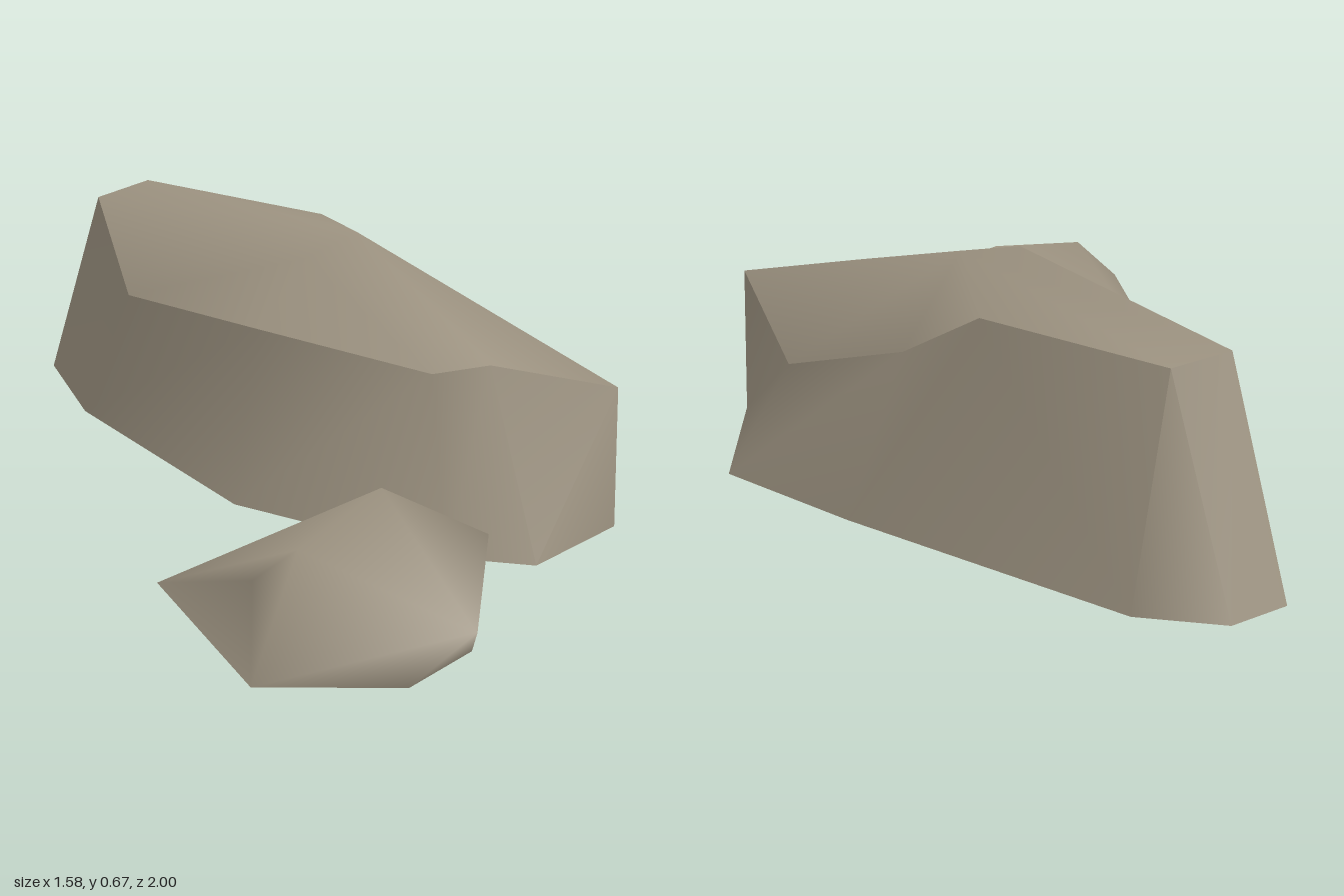
import * as THREE from 'three';
import { mergeVertices, toCreasedNormals } from 'three/addons/utils/BufferGeometryUtils.js';
import { ConvexGeometry } from 'three/addons/geometries/ConvexGeometry.js';

// Both stones are open shells underneath
const stone = new THREE.MeshStandardMaterial({ color: 0x9d9381, side: THREE.DoubleSide });
stone.name = 'stone';

function fromTriangles(positions) {
  const geometry = new THREE.BufferGeometry();
  geometry.setAttribute('position', new THREE.Float32BufferAttribute(positions, 3));
  return geometry;
}

function smooth(geometry) {
  const merged = mergeVertices(geometry, 1e-4);
  merged.computeVertexNormals();
  return merged;
}

// Long boulder: a rim ring above a ground ring
const rim = [
  [-0.63, 0.605, -0.72], [-0.5, 0.605, -0.86], [0, 0.605, -0.6], [0.22, 0.45, -0.46],
  [0.59, 0.275, -0.15], [0.78, 0.42, 0.15], [0.45, 0.475, 0.14], [0.3, 0.44, 0.12],
  [-0.16, 0.5, -0.03], [-0.53, 0.415, -0.46],
];
const ground = [
  [-0.79, -0.87], [-0.67, -1], [-0.43, -0.99], [0.35, -0.55], [0.72, -0.31],
  [0.785, 0.15], [0.57, 0.38], [0.34, 0.34], [-0.22, 0.04], [-0.67, -0.55],
].map(([x, z]) => [x, 0.02, z]);

// Rounded top: fans from two ridge points out to the rim
function largeRockTop() {
  const peak = [0.1, 0.67, -0.3], shoulder = [-0.03, 0.645, -0.17];
  const positions = [];
  const fan = (center, ring) => {
    for (let i = 0; i < ring.length - 1; i++) positions.push(...center, ...ring[i + 1], ...ring[i]);
  };
  fan(peak, [shoulder, ...rim.slice(0, 7), shoulder]);
  fan(shoulder, [...rim.slice(6), rim[0]]);
  return smooth(fromTriangles(positions));
}

// Steep walls from rim to ground
function largeRockWalls() {
  const positions = [];
  rim.forEach((top, i) => {
    const j = (i + 1) % rim.length;
    positions.push(...top, ...rim[j], ...ground[j]);
    positions.push(...top, ...ground[j], ...ground[i]);
  });
  return toCreasedNormals(fromTriangles(positions), 0.95);
}

// Small boulder: a convex stone without its underside
function smallRockShell() {
  const points = [
    // ground outline
    [-0.4, 0, 0.455], [-0.135, 0, 0.35], [0.33, 0, 0.52],
    [0.395, 0, 0.8], [0.24, 0, 0.985], [-0.14, 0, 0.99],
    // upper corners
    [0.17, 0.36, 0.63], [-0.03, 0.305, 0.86], [-0.14, 0.215, 0.85],
    [0.44, 0.185, 0.53], [0.4, 0.16, 1], [0.18, 0.22, 0.45],
  ].map((p) => new THREE.Vector3(...p));
  const hull = new ConvexGeometry(points).getAttribute('position').array;
  const positions = [];
  for (let i = 0; i < hull.length; i += 9) {
    const face = hull.slice(i, i + 9);
    if (Math.max(face[1], face[4], face[7]) > 0.01) positions.push(...face);
  }
  return smooth(fromTriangles(positions));
}

export function createModel() {
  const group = new THREE.Group();
  group.name = 'rocks';
  const parts = {
    largeRockTop: largeRockTop(),
    largeRockWalls: largeRockWalls(),
    smallRock: smallRockShell(),
  };
  for (const [name, geometry] of Object.entries(parts)) {
    const mesh = new THREE.Mesh(geometry, stone);
    mesh.name = name;
    group.add(mesh);
  }
  return group;
}
